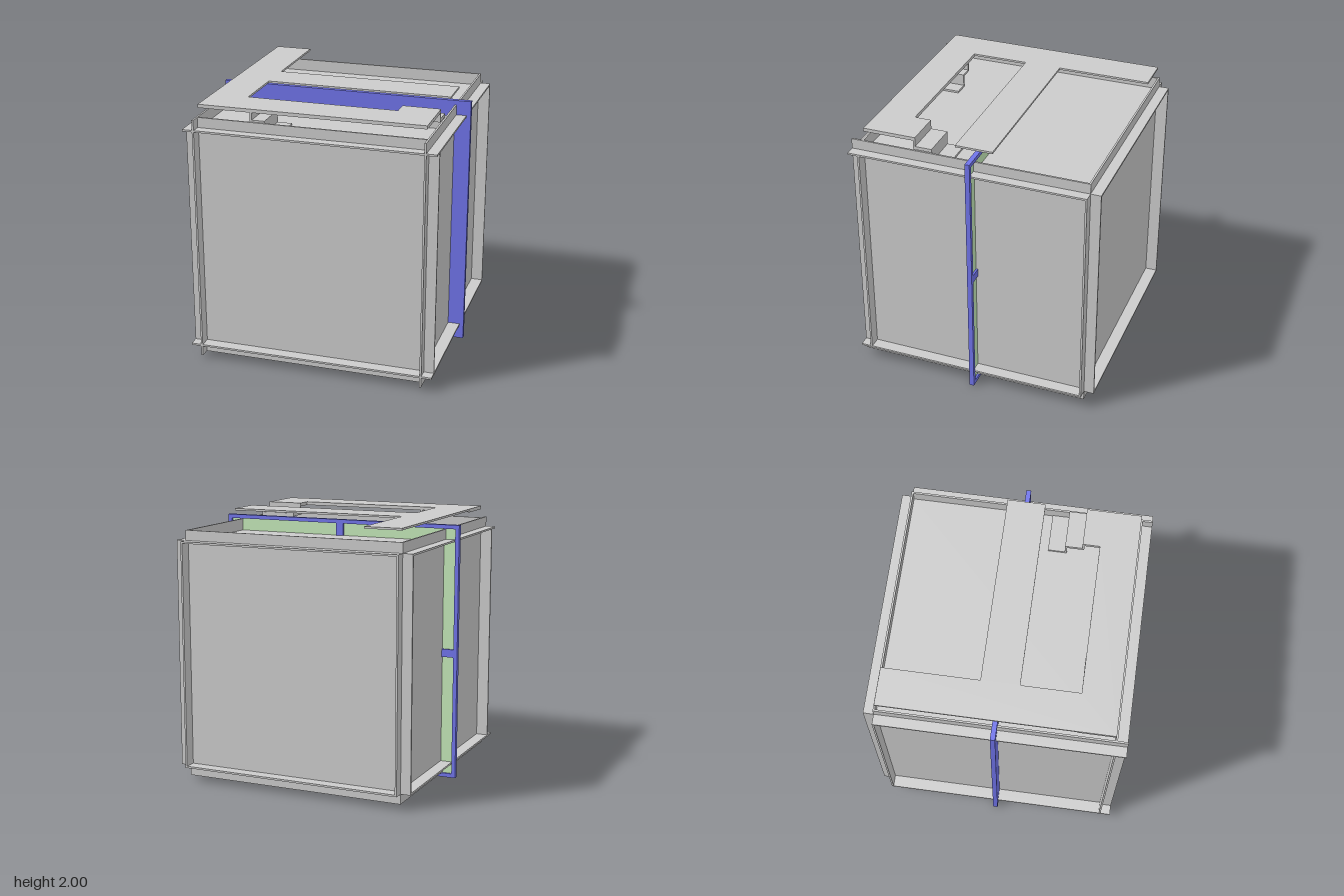
import * as THREE from 'three';

const grey = new THREE.MeshStandardMaterial({ color: 0xcccccc });
const blue = new THREE.MeshStandardMaterial({ color: 0x7074ea });
const green = new THREE.MeshStandardMaterial({ color: 0xc4e8b8 });

const CY = 0.97;    // height of the box centre
const CORE = 0.846; // half size of the box
const FACE = 0.86;  // outer face of the angle bars
const LIP = 0.936;  // reach of the flanges
const RING = 0.968; // half size of the ring

// Box given by its extents on each axis
function block(name, x, y, z, material = grey) {
  const mesh = new THREE.Mesh(
    new THREE.BoxGeometry(x[1] - x[0], y[1] - y[0], z[1] - z[0]), material);
  mesh.position.set((x[0] + x[1]) / 2, (y[0] + y[1]) / 2, (z[0] + z[1]) / 2);
  mesh.name = name;
  return mesh;
}

// Square frame around the z axis, extruded between two depths
function squareFrame(name, outer, inner, z0, z1, material) {
  const path = (h) => [[-h, -h], [h, -h], [h, h], [-h, h]].map(([x, y]) => new THREE.Vector2(x, y));
  const shape = new THREE.Shape(path(outer));
  shape.holes.push(new THREE.Path(path(inner).reverse()));
  const geometry = new THREE.ExtrudeGeometry(shape, { depth: z1 - z0, bevelEnabled: false });
  const mesh = new THREE.Mesh(geometry, material);
  mesh.position.z = z0;
  mesh.name = name;
  return mesh;
}

// Two flanges along one edge; axis is 0, 1 or 2, s and t pick the edge
function angleBar(axis, s, t) {
  const bar = new THREE.Group();
  bar.name = 'angleBar';
  const [a, b] = [0, 1, 2].filter((i) => i !== axis);
  const span = (sign, reach) => sign > 0 ? [CORE, reach] : [-reach, -CORE];
  for (const [ra, rb] of [[FACE, LIP], [LIP, FACE]]) {
    const e = [];
    e[axis] = [-FACE, axis === 2 ? LIP : FACE]; // bars along z run past the front
    e[a] = span(s, ra);
    e[b] = span(t, rb);
    bar.add(block('flange', ...e));
  }
  return bar;
}

function createBox() {
  const box = new THREE.Group();
  box.name = 'box';
  box.add(block('core', [-CORE, CORE], [-CORE, CORE], [-CORE, CORE]));
  for (const axis of [0, 1, 2])
    for (const s of [-1, 1])
      for (const t of [-1, 1]) box.add(angleBar(axis, s, t));
  box.position.y = CY;
  return box;
}

function createRing() {
  const ring = new THREE.Group();
  ring.name = 'ring';
  ring.add(
    squareFrame('ringPlate', RING, 0.84, 0.002, 0.018, blue),
    squareFrame('ringRim', RING, 0.938, -0.018, 0.002, blue),
    squareFrame('ringLining', 0.938, 0.84, -0.003, 0.002, green));
  // Stiffening tab in the middle of each side
  for (let i = 0; i < 4; i++) {
    const side = new THREE.Group();
    side.name = 'ringTab';
    side.add(block('tab', [0.84, 0.94], [-0.03, 0.03], [-0.018, 0.002], blue));
    side.rotation.z = i * Math.PI / 2;
    ring.add(side);
  }
  ring.position.y = CY + 0.001;
  return ring;
}

function createTopPlate() {
  const top = new THREE.Group();
  top.name = 'topPlate';
  // Outline in x and z: a spine, a middle arm and a front arm
  const outline = [[-0.845, -0.845], [-0.565, -0.845], [-0.565, -0.14], [0.842, -0.14],
    [0.842, 0.14], [-0.565, 0.14], [-0.565, 0.57], [0.56, 0.57], [0.56, 0.445],
    [0.842, 0.445], [0.842, 0.846], [-0.845, 0.846]];
  const shape = new THREE.Shape(outline.map(([x, z]) => new THREE.Vector2(x, -z)));
  const plate = new THREE.Mesh(
    new THREE.ExtrudeGeometry(shape, { depth: 0.015, bevelEnabled: false }), grey);
  plate.name = 'plate';
  plate.rotation.x = -Math.PI / 2;
  plate.position.y = 1.985;
  top.add(plate);
  // Thicker underside of the front arm
  top.add(block('frontArm', [-0.845, 0.842], [1.974, 1.985], [0.57, 0.846]));
  top.add(block('frontArmEnd', [0.56, 0.842], [1.974, 1.985], [0.445, 0.57]));

  // Stepped bracket down to the box on the right, stepping along z
  const x = [0.56, 0.842];
  top.add(
    block('bracketWall', x, [1.905, 1.974], [0.445, 0.46]),
    block('bracketTread', x, [1.905, 1.93], [0.32, 0.46]),
    block('bracketWall', x, [1.816, 1.905], [0.32, 0.335]),
    block('bracketFoot', x, [1.816, 1.831], [0.197, 0.335]));

  // Stepped bracket under the front arm, stepping along x
  const z = [0.57, 0.846];
  top.add(
    block('bracketWall', [-0.45, -0.435], [1.905, 1.974], z),
    block('bracketTread', [-0.45, -0.34], [1.905, 1.92], z),
    block('bracketWall', [-0.355, -0.34], [1.816, 1.905], z),
    block('bracketFoot', [-0.355, -0.23], [1.816, 1.831], z));
  return top;
}

export function createModel() {
  const model = new THREE.Group();
  model.name = 'flangedBox';
  model.add(createBox(), createRing(), createTopPlate());
  return model;
}
